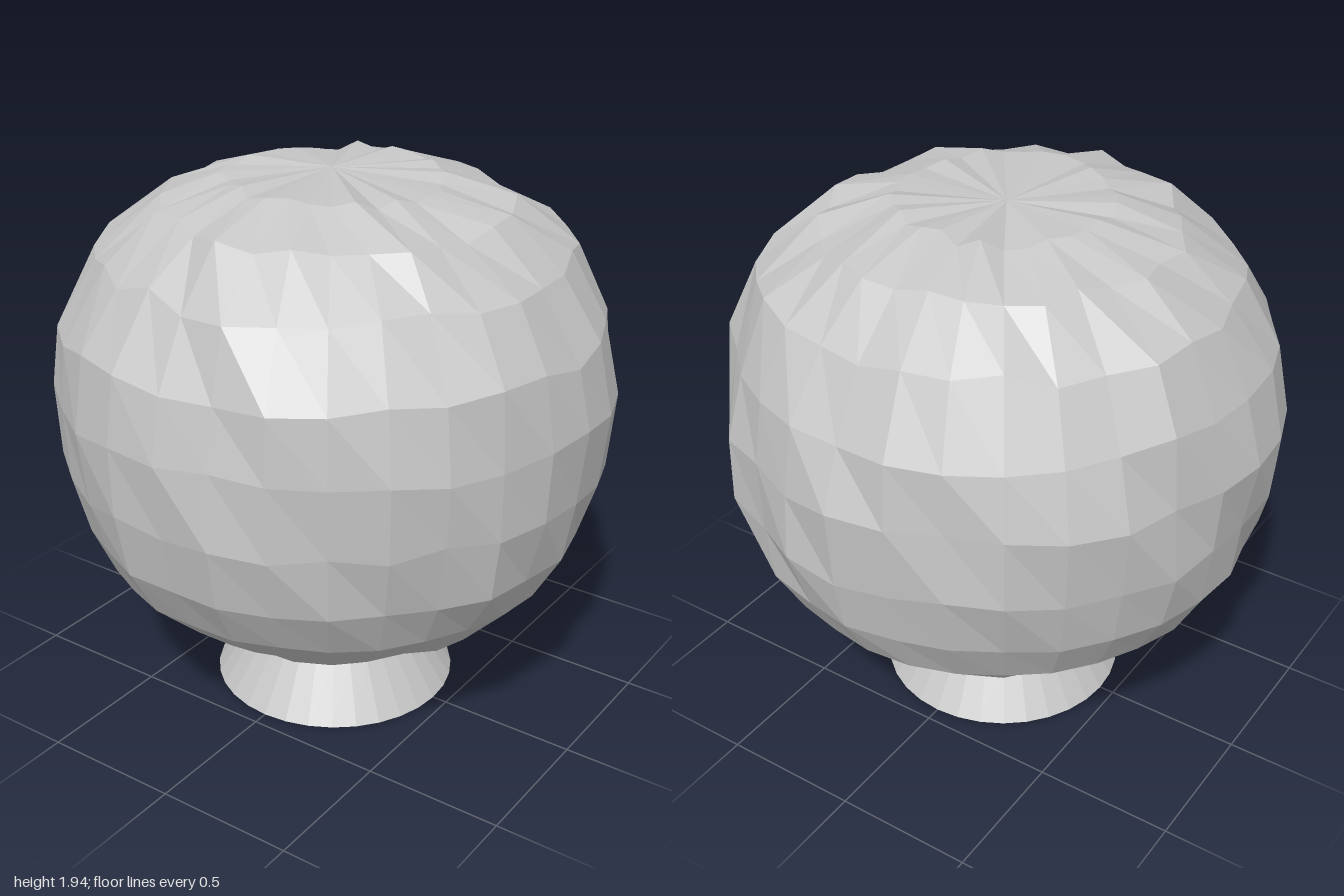
import * as THREE from 'three';

const SIDES = 32;

// Repeatable noise from -1 to 1
function noise(a, b) {
  const s = Math.sin(a * 127.1 + b * 311.7 + 4.3) * 43758.5453;
  return (s - Math.floor(s)) * 2 - 1;
}

// Separate the faces so each one is flat
function faceted(geometry) {
  const flat = geometry.toNonIndexed();
  flat.computeVertexNormals();
  return flat;
}

export function createModel() {
  const model = new THREE.Group();
  model.name = 'facetedBallOnFoot';
  const grey = new THREE.MeshStandardMaterial({ color: 0xc6c6c6 });
  grey.name = 'light grey';

  // Rings of the ball: radius, height, radial roughness, vertical roughness
  const rings = [
    [0.32, 0.19, 0, 0],
    [0.48, 0.3, 0.015, 0.008],
    [0.64, 0.405, 0.025, 0.015],
    [0.82, 0.57, 0.01, 0],
    [0.92, 0.745, 0.018, 0.01],
    [0.97, 0.965, 0.022, 0.025],
    [0.975, 1.22, 0.022, 0.018],
    [0.93, 1.46, 0.022, 0.02],
    [0.81, 1.69, 0.025, 0.025],
    [0.61, 1.84, 0.03, 0.025],
    [0.37, 1.92, 0.02, 0.02],
    [0, 1.93, 0, 0],
  ];
  const ballShape = new THREE.LatheGeometry(rings.map(([r, y]) => new THREE.Vector2(r, y)), SIDES);
  const pos = ballShape.attributes.position;
  for (let i = 0; i <= SIDES; i++) {
    const side = i % SIDES;
    const angle = (side / SIDES) * Math.PI * 2;
    rings.forEach(([r, y, rough, lift], j) => {
      const radius = r + rough * noise(side, j);
      // The crown sits slightly off centre
      const shift = j === rings.length - 1 ? -0.04 : 0;
      pos.setXYZ(
        i * rings.length + j,
        radius * Math.sin(angle) + shift,
        y + lift * noise(side + 50, j),
        radius * Math.cos(angle) + shift
      );
    });
  }
  const ball = new THREE.Mesh(faceted(ballShape), grey);
  ball.name = 'facetedBall';
  model.add(ball);

  // Flared foot, closed underneath
  const foot = new THREE.Mesh(faceted(new THREE.CylinderGeometry(0.32, 0.445, 0.19, SIDES)), grey);
  foot.name = 'flaredFoot';
  foot.position.y = 0.095;
  model.add(foot);

  return model;
}
